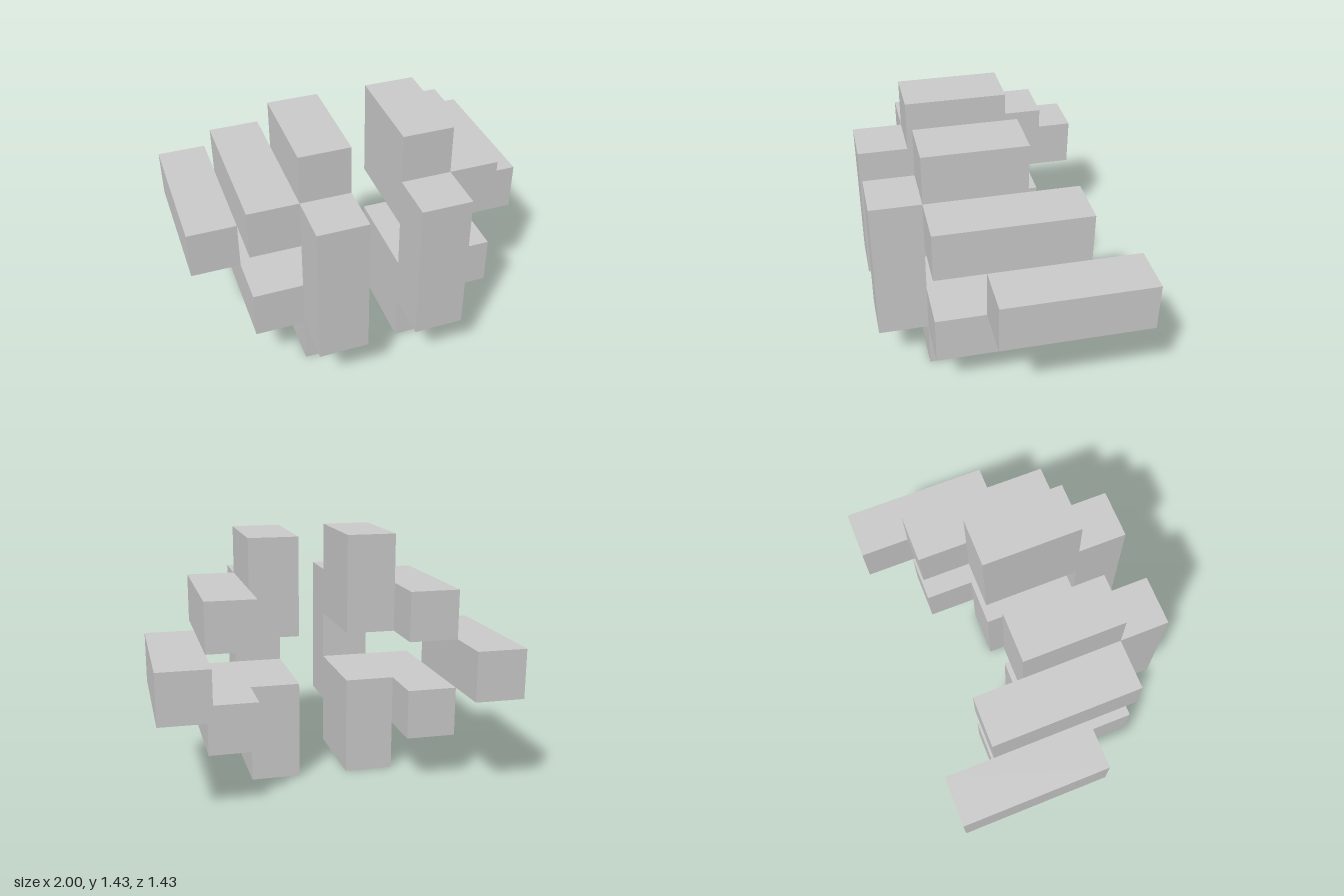
import * as THREE from 'three';

const U = 2 / 7; // one grid cell

export function createModel() {
  const model = new THREE.Group();
  const material = new THREE.MeshStandardMaterial({ color: 0xcccccc, flatShading: true });

  const add = (parent, name, geometry, x, y, z) => {
    const mesh = new THREE.Mesh(geometry, material);
    mesh.name = name;
    mesh.position.set(x * U, y * U, z * U);
    parent.add(mesh);
  };

  // Stepped C-shaped slab, open at the back; profile points are [z, y] in cells
  const profile = [
    [-0.5, 0], [1.5, 0], [1.5, 1], [2.5, 1], [2.5, 4], [1.5, 4],
    [1.5, 5], [-0.5, 5], [-0.5, 3], [1.5, 3], [1.5, 2], [-0.5, 2],
  ];
  const shape = new THREE.Shape(profile.map(([z, y]) => new THREE.Vector2(z * U, y * U)));
  const slab = new THREE.ExtrudeGeometry(shape, { depth: U, bevelEnabled: false });
  slab.translate(0, 0, -U / 2);
  slab.rotateY(-Math.PI / 2);

  // Long bar, three cells deep
  const bar = new THREE.BoxGeometry(U, U, 3 * U);

  // Mirrored halves, separated by a one-cell gap
  for (const side of [1, -1]) {
    const half = new THREE.Group();
    half.name = side > 0 ? 'leftHalf' : 'rightHalf';
    add(half, 'innerSlab', slab, side, 0, 0);
    add(half, 'lowerBar', bar, side * 2, 1.5, 0);
    add(half, 'upperBar', bar, side * 2, 3.5, 0);
    add(half, 'outerBar', bar, side * 3, 2.5, -1);
    model.add(half);
  }
  return model;
}
